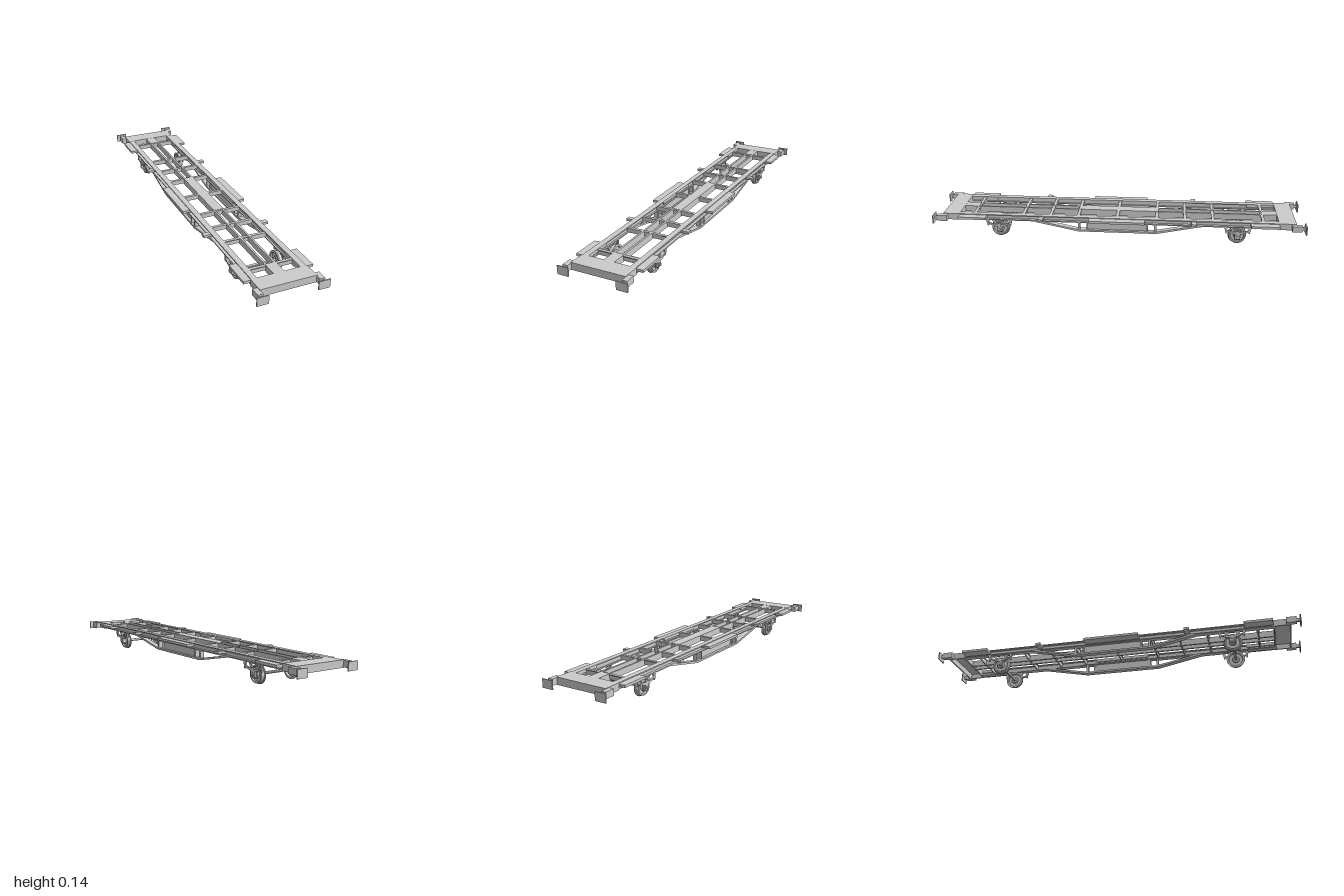
import * as THREE from 'three';

const material = new THREE.MeshStandardMaterial({ color: 0xcccccc, flatShading: true });

export function createModel() {
  const model = new THREE.Group();

  const add = (name, geometry, parent = model) => {
    const mesh = new THREE.Mesh(geometry, material);
    mesh.name = name;
    parent.add(mesh);
    return mesh;
  };
  // Box given by its limits on each axis
  const box = (name, x0, x1, y0, y1, z0, z1, parent = model) => {
    const g = new THREE.BoxGeometry(Math.abs(x1 - x0), y1 - y0, Math.abs(z1 - z0));
    return add(name, g.translate((x0 + x1) / 2, (y0 + y1) / 2, (z0 + z1) / 2), parent);
  };
  // Side profile of [z, y] points, extruded from x0 to x1
  const profile = (name, points, holes, x0, x1, parent = model) => {
    const toVec = ([z, y]) => new THREE.Vector2(-z, y);
    const shape = new THREE.Shape(points.map(toVec));
    holes.forEach((h) => shape.holes.push(new THREE.Path(h.map(toVec))));
    const g = new THREE.ExtrudeGeometry(shape, { depth: Math.abs(x1 - x0), bevelEnabled: false });
    return add(name, g.rotateY(Math.PI / 2).translate(Math.min(x0, x1), 0, 0), parent);
  };
  const cylinderX = (name, r, x0, x1, y, sides, parent) => {
    const g = new THREE.CylinderGeometry(r, r, Math.abs(x1 - x0), sides);
    return add(name, g.rotateZ(Math.PI / 2).translate((x0 + x1) / 2, y, 0), parent);
  };

  // Channel side sills with the fish-belly truss and side platforms
  for (const s of [-1, 1]) {
    box('sillWeb', s * 0.12, s * 0.127, 0.107, 0.137, -0.87, 0.87);
    box('sillTopFlange', s * 0.112, s * 0.142, 0.131, 0.137, -0.87, 0.87);
    box('sillBottomFlange', s * 0.112, s * 0.142, 0.105, 0.111, -0.87, 0.87);
    box('bellyPanel', s * 0.12, s * 0.127, 0.06, 0.108, -0.165, 0.165);
    profile('trussRod', [
      [-0.47, 0.107], [-0.21, 0.054], [0.21, 0.054], [0.47, 0.107],
      [0.42, 0.107], [0.205, 0.064], [-0.205, 0.064], [-0.42, 0.107],
    ], [], s * 0.112, s * 0.142);
    for (const e of [-1, 1]) {
      box('trussPost', s * 0.115, s * 0.138, 0.06, 0.107, e * 0.2, e * 0.212);
      box('panelEdge', s * 0.115, s * 0.138, 0.06, 0.107, e * 0.158, e * 0.166);
      box('endPlatform', s * 0.112, s * 0.18, 0.12, 0.133, e * 0.71, e * 0.86);
      box('sideBracket', s * 0.125, s * 0.18, 0.12, 0.133, e * 0.397, e * 0.424);
    }
    box('middlePlatform', s * 0.112, s * 0.18, 0.12, 0.133, -0.15, 0.15);
    box('centreBeam', s * 0.018, s * 0.028, 0.103, 0.136, -0.87, 0.87);
  }

  // Plates closing the centre beams, and the cross members
  box('centrePlate', -0.028, 0.028, 0.13, 0.137, -0.21, 0.21);
  for (const e of [-1, 1]) box('centreEndPlate', -0.028, 0.028, 0.13, 0.137, e * 0.78, e * 0.87);
  for (const z of [-0.78, -0.513, -0.363, -0.212, 0, 0.212, 0.363, 0.513, 0.78]) {
    box('crossMember', -0.122, 0.122, 0.108, 0.134, z - 0.003, z + 0.003);
    box('crossMemberTop', -0.122, 0.122, 0.13, 0.135, z - 0.008, z + 0.008);
  }

  // Headstocks, hollow underneath, with a pair of buffers each
  for (const e of [-1, 1]) {
    const end = new THREE.Group();
    end.name = 'headstock';
    box('headstockTop', -0.145, 0.145, 0.131, 0.138, e * 0.86, e * 0.95, end);
    box('headstockFace', -0.145, 0.145, 0.1, 0.137, e * 0.942, e * 0.95, end);
    box('headstockBack', -0.145, 0.145, 0.105, 0.134, e * 0.86, e * 0.866, end);
    for (const s of [-1, 1]) {
      box('headstockSide', s * 0.138, s * 0.145, 0.103, 0.136, e * 0.86, e * 0.948, end);
      box('bufferHousing', s * 0.143, s * 0.17, 0.103, 0.135, e * 0.925, e * 0.978, end);
      box('bufferShaft', s * 0.148, s * 0.163, 0.11, 0.126, e * 0.97, e * 0.996, end);
      box('bufferPlate', s * 0.125, s * 0.185, 0.093, 0.137, e * 0.994, e, end);
    }
    model.add(end);
  }

  // Wheelsets with guards, springs and axle boxes
  for (const z of [-0.645, 0.645]) {
    const wheelset = new THREE.Group();
    wheelset.name = 'wheelset';
    wheelset.position.z = z;
    cylinderX('axle', 0.0075, -0.145, 0.145, 0.05, 10, wheelset);
    for (const s of [-1, 1]) {
      // Turned wheel: flange inside, tread outside, dished disc
      const section = [
        [0, 0.005], [0.016, 0.005], [0.02, 0.009], [0.036, 0.009], [0.039, 0],
        [0.05, 0], [0.05, 0.005], [0.046, 0.008], [0.044, 0.023],
        [0.037, 0.023], [0.035, 0.015], [0.02, 0.015], [0.015, 0.023], [0, 0.023],
      ].map(([r, h]) => new THREE.Vector2(r, h));
      const wheel = add('wheel', new THREE.LatheGeometry(section, 24).rotateZ(-Math.PI / 2), wheelset);
      wheel.position.set(s * 0.098, 0.05, 0);
      if (s < 0) wheel.rotation.y = Math.PI;

      profile('axleGuard', [
        [-0.045, 0.107], [-0.018, 0.06], [-0.016, 0.03], [0.016, 0.03], [0.018, 0.06], [0.045, 0.107],
      ], [[[-0.025, 0.1], [0.025, 0.1], [0.012, 0.073], [-0.012, 0.073]]], s * 0.123, s * 0.13, wheelset);
      box('axleBox', s * 0.128, s * 0.14, 0.038, 0.064, -0.014, 0.014, wheelset);
      box('springBuckle', s * 0.129, s * 0.142, 0.06, 0.085, -0.008, 0.008, wheelset);
      // Leaf spring curving up towards its hangers
      const leaf = [];
      for (let i = 0; i <= 8; i++) {
        const t = i / 4 - 1;
        leaf.push([t * 0.062, 0.064 + 0.021 * t * t]);
      }
      for (let i = 8; i >= 0; i--) {
        const t = i / 4 - 1;
        leaf.push([t * 0.062, 0.078 + 0.012 * t * t]);
      }
      profile('leafSpring', leaf, [], s * 0.131, s * 0.14, wheelset);
      for (const e of [-1, 1]) {
        profile('springHanger', [
          [e * 0.055, 0.107], [e * 0.072, 0.107], [e * 0.064, 0.07], [e * 0.058, 0.07],
        ].slice(), [], s * 0.129, s * 0.139, wheelset);
      }
    }
    model.add(wheelset);
  }
  return model;
}
